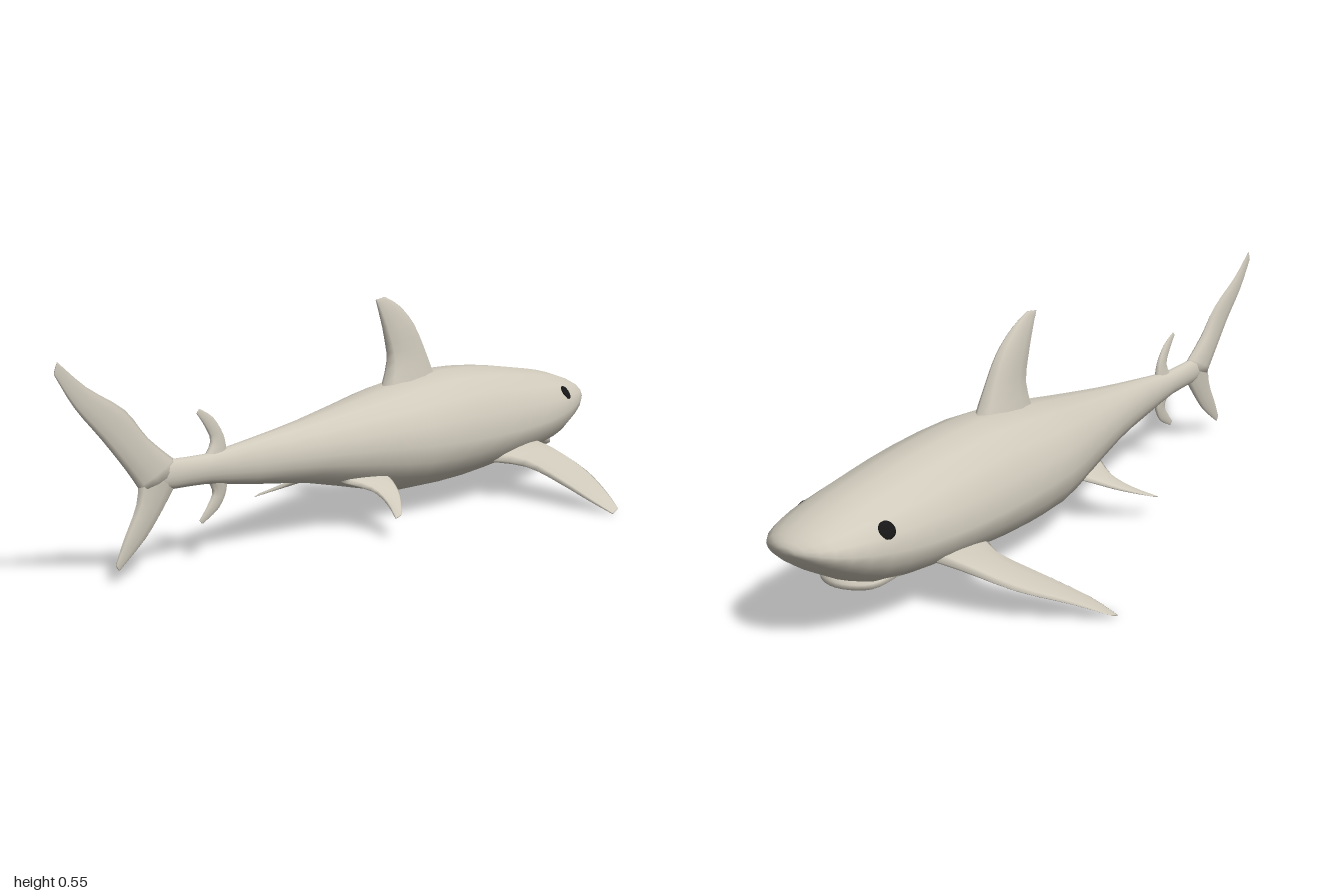
import * as THREE from 'three';

const skin = new THREE.MeshStandardMaterial({ color: 0xd0cabc });
skin.name = 'paleSkin';
const black = new THREE.MeshStandardMaterial({ color: 0x161616 });
black.name = 'eyeBlack';

// Smoothly subdivide a list of number rows
function refine(rows, steps) {
  const out = [];
  const at = (i) => rows[Math.max(0, Math.min(rows.length - 1, i))];
  for (let i = 0; i < rows.length - 1; i++) {
    for (let s = 0; s < steps; s++) {
      const t = s / steps;
      out.push(rows[i].map((b, k) => {
        const a = at(i - 1)[k], c = at(i + 1)[k], d = at(i + 2)[k];
        return b + 0.5 * t * (c - a + t * (2 * a - 5 * b + 4 * c - d + t * (3 * (b - c) + d - a)));
      }));
    }
  }
  out.push(rows[rows.length - 1]);
  return out;
}

// Closed skin over a series of rings, with a centre point capping each end
function loft(name, rings) {
  const n = rings[0].length, last = rings.length - 1;
  const pts = rings.flat(), index = [];
  const centre = (ring) => ring.reduce((s, p) => s.add(p), new THREE.Vector3()).divideScalar(n);
  const c0 = pts.push(centre(rings[0])) - 1;
  const c1 = pts.push(centre(rings[last])) - 1;
  for (let j = 0; j < n; j++) {
    const k = (j + 1) % n;
    for (let i = 0; i < last; i++) {
      const a = i * n + j, b = i * n + k;
      index.push(a, b, a + n, b, b + n, a + n);
    }
    index.push(c0, k, j, c1, last * n + j, last * n + k);
  }
  // Turn the skin outward if it came out reversed
  let volume = 0;
  for (let i = 0; i < index.length; i += 3) {
    volume += pts[index[i]].dot(pts[index[i + 1]].clone().cross(pts[index[i + 2]]));
  }
  if (volume < 0) index.reverse();
  const geo = new THREE.BufferGeometry().setFromPoints(pts);
  geo.setIndex(index);
  geo.computeVertexNormals();
  const mesh = new THREE.Mesh(geo, skin);
  mesh.name = name;
  return mesh;
}

// Fin from stations: x, leading z, leading y, trailing z, trailing y, thickness
function fin(name, stations, thickDir, side = 1) {
  const rings = refine(stations, 3).map(([x, lz, ly, tz, ty, thick]) => {
    const ring = [];
    for (let k = 0; k < 10; k++) {
      const a = (k / 10) * Math.PI * 2, f = (1 - Math.cos(a)) / 2;
      const p = new THREE.Vector3(x * side, ly + (ty - ly) * f, lz + (tz - lz) * f);
      ring.push(p.addScaledVector(thickDir, Math.sin(a) * Math.max(thick, 0.002) / 2));
    }
    return ring;
  });
  return loft(name, rings);
}

export function createModel() {
  const model = new THREE.Group();
  model.name = 'shark';
  const acrossX = new THREE.Vector3(1, 0, 0), acrossY = new THREE.Vector3(0, 1, 0);

  // Body sections: z, top, bottom, half width, height of widest point
  const sections = [
    [-0.998, 0.24, 0.222, 0.025, 0.23],
    [-0.975, 0.258, 0.197, 0.075, 0.226],
    [-0.92, 0.28, 0.158, 0.112, 0.215],
    [-0.82, 0.304, 0.108, 0.137, 0.198],
    [-0.7, 0.323, 0.088, 0.153, 0.186],
    [-0.55, 0.342, 0.077, 0.161, 0.18],
    [-0.35, 0.352, 0.061, 0.16, 0.18],
    [-0.15, 0.334, 0.06, 0.146, 0.185],
    [0, 0.312, 0.085, 0.115, 0.192],
    [0.2, 0.283, 0.128, 0.072, 0.2],
    [0.4, 0.26, 0.155, 0.036, 0.205],
    [0.55, 0.246, 0.178, 0.022, 0.212],
    [0.66, 0.25, 0.183, 0.019, 0.215],
    [0.75, 0.245, 0.195, 0.009, 0.218],
  ];
  const rings = refine(sections, 2).map(([z, top, bottom, w, mid]) => {
    const ring = [];
    for (let j = 0; j < 18; j++) {
      const a = (j / 18) * Math.PI * 2, s = Math.sin(a), c = Math.cos(a);
      const x = s < 0 ? Math.sign(c) * Math.abs(c) ** 0.88 : c;
      ring.push(new THREE.Vector3(x * w, mid + s * (s > 0 ? top - mid : mid - bottom), z));
    }
    return ring;
  });
  model.add(loft('body', rings));

  // Fins on the centre line
  model.add(fin('dorsalFin', [
    [0, -0.35, 0.32, -0.11, 0.3, 0.075],
    [0, -0.305, 0.4, -0.14, 0.385, 0.05],
    [0, -0.255, 0.475, -0.125, 0.455, 0.036],
    [0, -0.19, 0.527, -0.105, 0.51, 0.02],
    [0, -0.13, 0.553, -0.09, 0.548, 0.004],
  ], acrossX));
  model.add(fin('upperTailLobe', [
    [0, 0.63, 0.235, 0.755, 0.19, 0.034],
    [0, 0.73, 0.305, 0.8, 0.245, 0.03],
    [0, 0.8, 0.375, 0.87, 0.32, 0.02],
    [0, 0.91, 0.435, 0.945, 0.395, 0.012],
    [0, 0.99, 0.495, 1.0, 0.47, 0.003],
  ], acrossX));
  model.add(fin('lowerTailLobe', [
    [0, 0.63, 0.21, 0.76, 0.235, 0.032],
    [0, 0.69, 0.14, 0.77, 0.165, 0.024],
    [0, 0.745, 0.085, 0.81, 0.095, 0.014],
    [0, 0.825, 0.03, 0.835, 0.045, 0.003],
  ], acrossX));
  model.add(fin('rearDorsalFin', [
    [0, 0.475, 0.235, 0.56, 0.23, 0.024],
    [0, 0.485, 0.28, 0.53, 0.27, 0.016],
    [0, 0.52, 0.325, 0.55, 0.31, 0.01],
    [0, 0.565, 0.35, 0.575, 0.34, 0.002],
  ], acrossX));
  model.add(fin('analFin', [
    [0, 0.475, 0.185, 0.56, 0.2, 0.024],
    [0, 0.48, 0.15, 0.525, 0.16, 0.016],
    [0, 0.505, 0.115, 0.545, 0.125, 0.01],
    [0, 0.56, 0.088, 0.57, 0.098, 0.002],
  ], acrossX));

  for (const side of [1, -1]) {
    const label = side > 0 ? 'left' : 'right';
    // Paired fins, sloping down and out
    model.add(fin(label + 'PectoralFin', [
      [0.09, -0.67, 0.13, -0.43, 0.11, 0.045],
      [0.18, -0.65, 0.115, -0.49, 0.095, 0.034],
      [0.3, -0.61, 0.078, -0.473, 0.062, 0.022],
      [0.4, -0.54, 0.045, -0.455, 0.03, 0.012],
      [0.47, -0.485, 0.014, -0.455, 0.004, 0.002],
    ], acrossY, side));
    model.add(fin(label + 'PelvicFin', [
      [0.05, -0.05, 0.13, 0.12, 0.125, 0.028],
      [0.11, -0.015, 0.113, 0.08, 0.105, 0.02],
      [0.165, 0.03, 0.09, 0.088, 0.08, 0.012],
      [0.22, 0.1, 0.062, 0.125, 0.055, 0.002],
    ], acrossY, side));

    // Eye set flat against the head
    const eye = new THREE.Mesh(new THREE.SphereGeometry(0.022, 14, 10), black);
    eye.name = label + 'Eye';
    eye.scale.set(1, 0.95, 0.25);
    eye.position.set(side * 0.12, 0.246, -0.82);
    eye.lookAt(side * (0.12 + 0.8), 0.246 + 0.55, -0.82 - 0.2);
    model.add(eye);
  }

  // Curved lower lip under the snout
  const lip = new THREE.Mesh(new THREE.TubeGeometry(new THREE.CatmullRomCurve3([
    new THREE.Vector3(-0.09, 0.125, -0.74),
    new THREE.Vector3(-0.065, 0.108, -0.81),
    new THREE.Vector3(0, 0.106, -0.84),
    new THREE.Vector3(0.065, 0.108, -0.81),
    new THREE.Vector3(0.09, 0.125, -0.74),
  ]), 20, 0.012, 6), skin);
  lip.name = 'lowerLip';
  model.add(lip);

  // The body sits a little off the fin-tip centre
  model.children.forEach((part) => {
    if (!/Pectoral/.test(part.name)) part.position.x -= 0.008;
  });
  return model;
}
